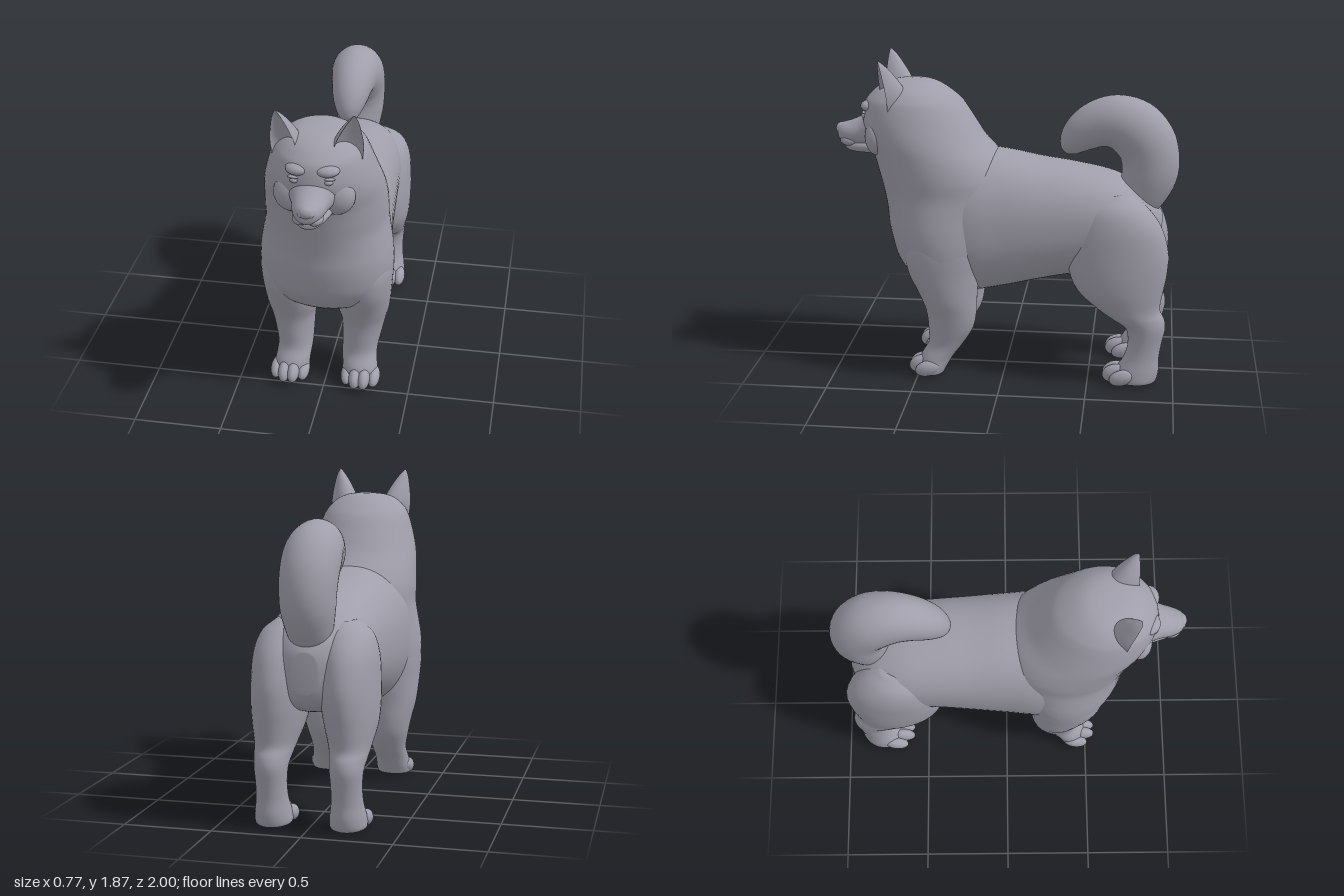
import * as THREE from 'three';

const fur = new THREE.MeshStandardMaterial({ color: 0xa09eaa });
fur.name = 'soft grey fur';

// Cross-section lying flat: height, front z, back z, half width, centre x
const flat = ([y, front, back, w, x = 0]) =>
  ({ c: [x, y, (front + back) / 2], w, h: (front - back) / 2, t: Math.PI / 2 });
// Cross-section facing forward: z, top, bottom, half width
const upright = ([z, top, bottom, w]) =>
  ({ c: [0, (top + bottom) / 2, z], w, h: (top - bottom) / 2, t: 0 });

// Smooth closed skin through oval sections; t tilts each oval about x.
// power squares the oval, dent scales its lower half (negative makes a cup).
function loft(name, sections, { power = 2, dent = 1, sides = 40, steps = 5 } = {}) {
  const centres = new THREE.CatmullRomCurve3(
    sections.map(s => new THREE.Vector3(...s.c)), false, 'catmullrom');
  const sizes = new THREE.CatmullRomCurve3(
    sections.map(s => new THREE.Vector3(s.w, s.h, s.t)), false, 'catmullrom');
  const rings = (sections.length - 1) * steps;
  const pos = [], index = [];
  const round = v => Math.sign(v) * Math.abs(v) ** (2 / power);
  for (let i = 0; i <= rings; i++) {
    const c = centres.getPoint(i / rings), s = sizes.getPoint(i / rings);
    for (let j = 0; j < sides; j++) {
      const a = (j / sides) * Math.PI * 2;
      let u = round(Math.sin(a)) * Math.max(s.y, 0.002);
      if (u < 0) u *= dent;
      pos.push(c.x + round(Math.cos(a)) * Math.max(s.x, 0.002),
        c.y + u * Math.cos(s.z), c.z + u * Math.sin(s.z));
      if (i < rings) {
        const k = (j + 1) % sides, p = i * sides, q = p + sides;
        index.push(p + j, p + k, q + k, p + j, q + k, q + j);
      }
    }
  }
  // End caps
  const first = pos.length / 3, last = rings * sides;
  pos.push(...sections[0].c, ...sections[sections.length - 1].c);
  for (let j = 0; j < sides; j++) {
    const k = (j + 1) % sides;
    index.push(first, k, j, first + 1, last + j, last + k);
  }
  const g = new THREE.BufferGeometry();
  g.setAttribute('position', new THREE.Float32BufferAttribute(pos, 3));
  g.setIndex(index);
  g.computeVertexNormals();
  const mesh = new THREE.Mesh(g, fur);
  mesh.name = name;
  return mesh;
}

function blob(name, [x, y, z], [rx, ry, rz], tilt = 0) {
  const mesh = new THREE.Mesh(new THREE.SphereGeometry(1, 24, 16), fur);
  mesh.name = name;
  mesh.position.set(x, y, z);
  mesh.scale.set(rx, ry, rz);
  mesh.rotation.x = tilt;
  return mesh;
}

// Four toes, the middle pair further forward
function toes(name, x, y, z) {
  const group = new THREE.Group();
  group.name = name;
  [-1.5, -0.5, 0.5, 1.5].forEach(i => {
    const middle = Math.abs(i) < 1;
    group.add(blob('toe', [x + i * 0.053, y + (middle ? 0.008 : 0), z + (middle ? 0.03 : -0.012)],
      [0.036, middle ? 0.054 : 0.046, 0.075], 0.3));
  });
  return group;
}

function buildSide(name, sign) {
  const side = new THREE.Group();
  side.name = name;
  side.scale.x = sign;

  side.add(loft('frontLeg', [
    [0.97, 0.45, 0.24, 0.07, 0.25], [0.88, 0.52, 0.17, 0.115, 0.25],
    [0.78, 0.56, 0.14, 0.135, 0.246], [0.65, 0.55, 0.14, 0.15, 0.225],
    [0.5, 0.485, 0.15, 0.153, 0.208], [0.4, 0.45, 0.155, 0.13, 0.207],
    [0.3, 0.44, 0.175, 0.115, 0.2], [0.2, 0.442, 0.235, 0.103, 0.192],
    [0.12, 0.485, 0.295, 0.102, 0.2], [0.05, 0.49, 0.335, 0.105, 0.207],
    [0.022, 0.47, 0.35, 0.092, 0.207], [0.016, 0.45, 0.37, 0.05, 0.207],
  ].map(flat)));
  side.add(toes('frontToes', 0.21, 0.062, 0.45));

  side.add(loft('hindLeg', [
    [1.13, -0.58, -0.72, 0.06, 0.16], [1.06, -0.47, -0.82, 0.13, 0.175],
    [0.95, -0.41, -0.905, 0.155, 0.188], [0.8, -0.37, -0.95, 0.16, 0.192],
    [0.67, -0.385, -0.947, 0.155, 0.197], [0.56, -0.435, -0.927, 0.14, 0.203],
    [0.46, -0.545, -0.912, 0.115, 0.208], [0.4, -0.63, -0.938, 0.102, 0.21],
    [0.34, -0.715, -0.946, 0.092, 0.21], [0.25, -0.732, -0.928, 0.085, 0.21],
    [0.16, -0.71, -0.915, 0.088, 0.21], [0.08, -0.665, -0.915, 0.1, 0.21],
    [0.02, -0.66, -0.9, 0.1, 0.21], [0.006, -0.7, -0.87, 0.06, 0.21],
  ].map(flat)));
  side.add(toes('hindToes', 0.21, 0.053, -0.69));

  // Cupped ear opening forward and outward
  const ear = loft('ear', [
    [1.57, 0.075, 0.13, 0, 0], [1.66, 0.083, 0.14, 0, 0.01],
    [1.72, 0.073, 0.12, 0.004, 0.018], [1.78, 0.053, 0.085, 0.01, 0.028],
    [1.835, 0.029, 0.045, 0.018, 0.037], [1.873, 0.005, 0.007, 0.022, 0.043],
  ].map(([y, w, h, x, z]) => ({ c: [x, y, z], w, h, t: -Math.PI / 2 })), { dent: -0.35 });
  ear.position.set(0.17, 0, 0.675);
  ear.rotation.y = 0.4;
  side.add(ear);

  // Eye, brow and cheek
  side.add(blob('eye', [0.09, 1.535, 0.812], [0.024, 0.015, 0.018]));
  side.add(blob('upperLid', [0.09, 1.553, 0.808], [0.036, 0.009, 0.018]));
  side.add(blob('brow', [0.075, 1.59, 0.775], [0.07, 0.035, 0.06]));
  side.add(blob('cheek', [0.12, 1.42, 0.73], [0.1, 0.11, 0.075]));
  side.add(blob('lip', [0.037, 1.375, 0.915], [0.045, 0.035, 0.055]));
  side.add(blob('nostrilWing', [0.026, 1.43, 0.972], [0.018, 0.02, 0.02]));
  return side;
}

export function createModel() {
  const dog = new THREE.Group();
  dog.name = 'dog';

  // Skull, ruff and chest in one mass, crown to breastbone
  dog.add(loft('headAndChest', [
    [1.738, 0.56, 0.48, 0.045], [1.728, 0.65, 0.42, 0.115], [1.7, 0.73, 0.36, 0.18],
    [1.65, 0.79, 0.29, 0.232], [1.6, 0.822, 0.24, 0.26], [1.5, 0.835, 0.175, 0.293],
    [1.4, 0.81, 0.11, 0.32], [1.3, 0.772, 0.02, 0.336], [1.2, 0.745, -0.04, 0.345],
    [1.1, 0.72, -0.05, 0.346], [1, 0.70, -0.02, 0.362], [0.9, 0.69, 0, 0.378],
    [0.8, 0.67, 0.02, 0.383], [0.7, 0.637, 0.05, 0.372], [0.6, 0.565, 0.1, 0.32],
    [0.52, 0.46, 0.14, 0.22], [0.48, 0.38, 0.18, 0.08],
  ].map(flat), { sides: 56 }));

  // Barrel and rump
  dog.add(loft('torso', [
    [-0.91, 0.98, 0.76, 0.07], [-0.88, 1.03, 0.7, 0.14], [-0.83, 1.09, 0.66, 0.2],
    [-0.74, 1.16, 0.63, 0.265], [-0.6, 1.22, 0.615, 0.302], [-0.4, 1.262, 0.61, 0.311],
    [-0.2, 1.292, 0.57, 0.322], [0, 1.33, 0.522, 0.334], [0.2, 1.345, 0.488, 0.345],
    [0.36, 1.3, 0.51, 0.31],
  ].map(upright), { power: 2.25, sides: 56 }));
  dog.add(blob('bellyTuft', [0, 0.615, -0.4], [0.035, 0.04, 0.06]));

  // Curled tail: z, y, radius
  const curl = [
    [-0.74, 1.0, 0.11], [-0.79, 1.1, 0.14], [-0.825, 1.2, 0.16], [-0.832, 1.29, 0.167],
    [-0.805, 1.39, 0.172], [-0.73, 1.475, 0.172], [-0.62, 1.513, 0.155],
    [-0.515, 1.492, 0.134], [-0.435, 1.44, 0.113], [-0.385, 1.385, 0.085],
    [-0.362, 1.34, 0.052], [-0.355, 1.318, 0.015],
  ];
  dog.add(loft('tail', curl.map(([z, y, r], i) => {
    const a = curl[Math.max(i - 1, 0)], b = curl[Math.min(i + 1, curl.length - 1)];
    return { c: [0, y, z], w: r * 0.92, h: r, t: Math.atan2(a[1] - b[1], b[0] - a[0]) };
  })));

  // Muzzle, jaw and nose
  dog.add(loft('muzzle', [
    [0.7, 1.56, 1.33, 0.15], [0.79, 1.55, 1.335, 0.125], [0.85, 1.512, 1.34, 0.1],
    [0.91, 1.486, 1.345, 0.086], [0.95, 1.475, 1.355, 0.07], [0.976, 1.465, 1.37, 0.05],
    [0.987, 1.445, 1.39, 0.025],
  ].map(upright)));
  dog.add(loft('lowerJaw', [
    [0.7, 1.4, 1.29, 0.12], [0.8, 1.39, 1.296, 0.1], [0.88, 1.38, 1.3, 0.075],
    [0.925, 1.37, 1.31, 0.052], [0.945, 1.355, 1.325, 0.025],
  ].map(upright)));
  dog.add(blob('nose', [0, 1.437, 0.968], [0.042, 0.034, 0.032]));

  dog.add(buildSide('leftSide', 1), buildSide('rightSide', -1));
  return dog;
}
